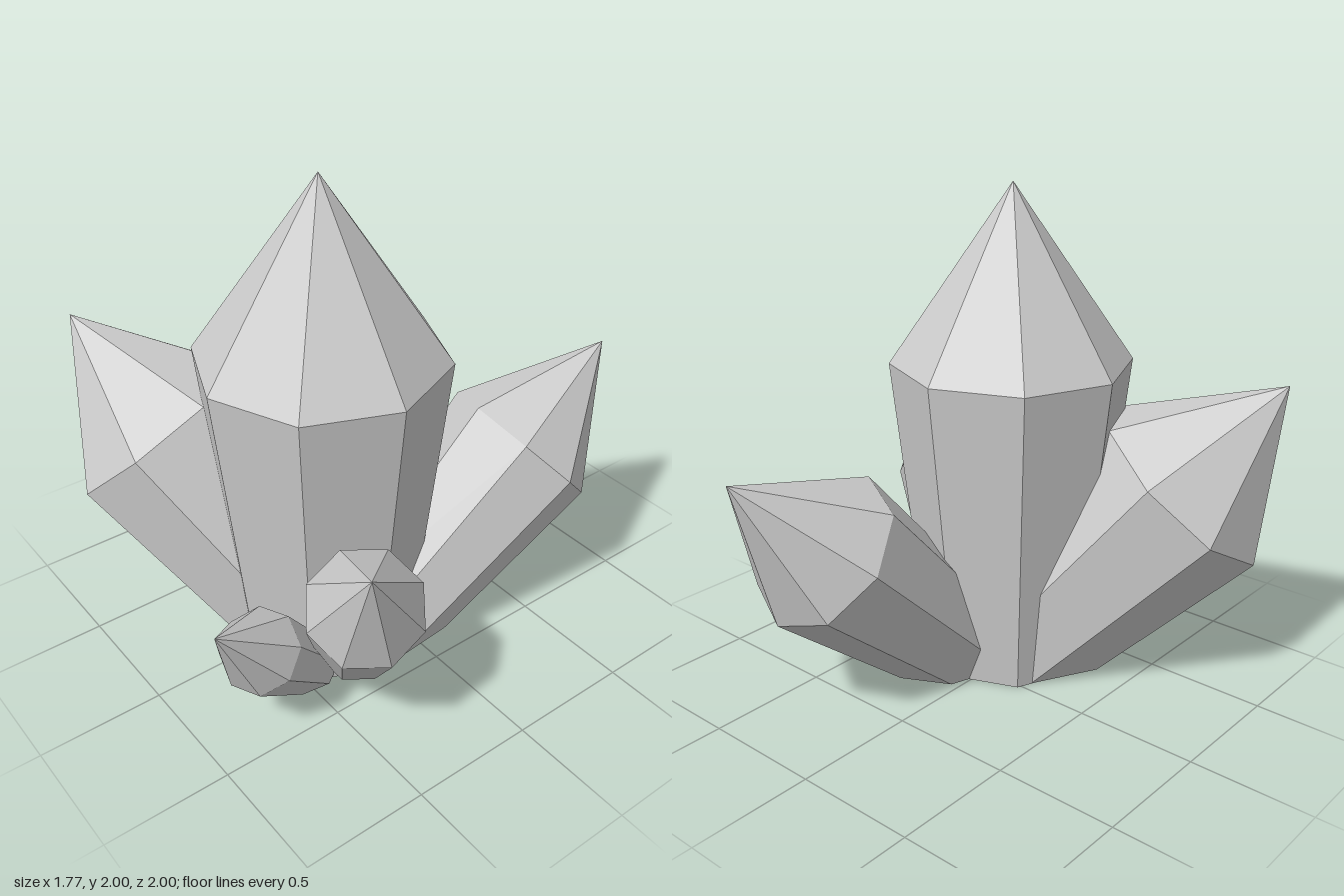
import * as THREE from 'three';

const SIDES = 8;
const TAPER = 0.71; // foot radius relative to shoulder radius

// foot: centre on the ground, shoulder: centre of the widest ring,
// edge: direction from the shoulder centre towards one ring corner
const CRYSTALS = [
  { name: 'mainCrystal', foot: [0.06, 0, 0.23], shoulder: [0.06, 1.29, 0.23], tip: [0.06, 2, 0.23], edge: [1, 0, 0], radius: 0.49 },
  { name: 'rightCrystal', foot: [0.07, 0, 0.22], shoulder: [-0.55, 0.81, 0.585], tip: [-0.88, 1.245, 0.78], edge: [-0.34, -0.26, 0], radius: 0.425 },
  { name: 'backCrystal', foot: [0.18, 0, 0.1], shoulder: [0.285, 0.685, -0.61], tip: [0.335, 1.055, -1], edge: [0.33, 0, 0.035], radius: 0.33 },
  { name: 'leftCrystal', foot: [0.245, 0, 0.215], shoulder: [0.66, 0.635, 0.49], tip: [0.885, 0.98, 0.64], edge: [0.18, -0.13, 0.025], radius: 0.225 },
  { name: 'smallFrontCrystal', foot: [0.23, 0, 0.425], shoulder: [0.38, 0.38, 0.76], tip: [0.485, 0.65, 1], edge: [-0.01, -0.105, 0.125], radius: 0.163 },
];

function crystalGeometry(spec) {
  const [foot, shoulder, tip, edge] = [spec.foot, spec.shoulder, spec.tip, spec.edge].map((p) => new THREE.Vector3(...p));
  const axis = tip.clone().sub(shoulder).normalize();
  const u = edge.projectOnPlane(axis).normalize();
  const v = axis.clone().cross(u);
  const corner = (centre, r, i) => {
    const a = (i / SIDES) * Math.PI * 2;
    return centre.clone().addScaledVector(u, r * Math.cos(a)).addScaledVector(v, r * Math.sin(a));
  };

  const upper = [];
  const lower = [];
  for (let i = 0; i < SIDES; i++) {
    const t = corner(shoulder, spec.radius, i);
    const b = corner(foot, spec.radius * TAPER, i);
    // trim the shaft where it would pass below the ground
    if (b.y < 0) b.lerp(t, -b.y / (t.y - b.y));
    upper.push(t);
    lower.push(b);
  }

  // shaft facets, pointed cap and base
  const points = [];
  for (let i = 0; i < SIDES; i++) {
    const j = (i + 1) % SIDES;
    points.push(lower[i], lower[j], upper[j], lower[i], upper[j], upper[i]);
    points.push(upper[i], upper[j], tip);
    points.push(lower[j], lower[i], foot);
  }
  const geometry = new THREE.BufferGeometry().setFromPoints(points);
  geometry.computeVertexNormals();
  return geometry;
}

export function createModel() {
  const group = new THREE.Group();
  group.name = 'crystalCluster';
  const material = new THREE.MeshStandardMaterial({ color: 0xcccccc, flatShading: true });
  for (const spec of CRYSTALS) {
    const mesh = new THREE.Mesh(crystalGeometry(spec), material);
    mesh.name = spec.name;
    group.add(mesh);
  }
  return group;
}
